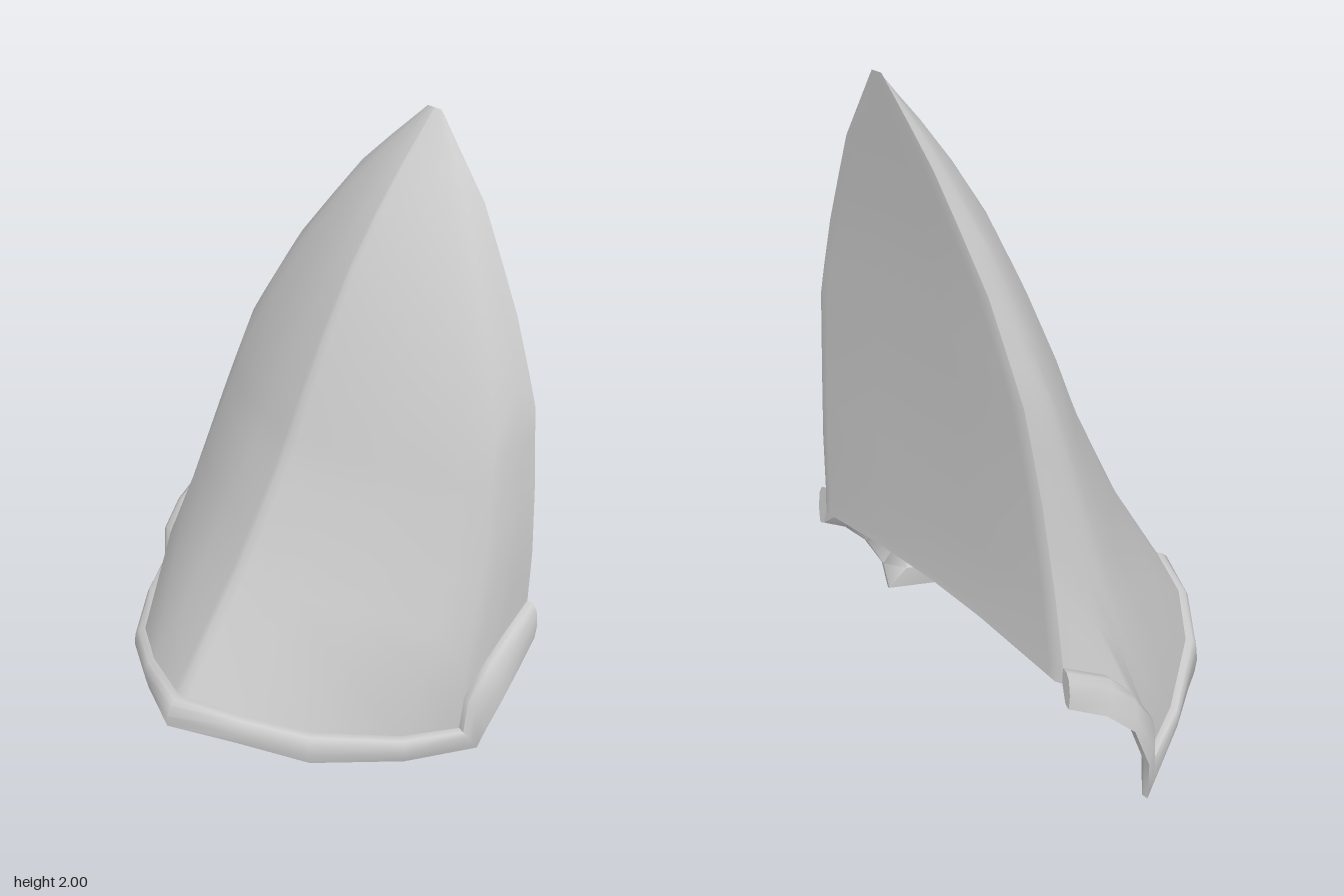
import * as THREE from 'three';
import { toCreasedNormals } from 'three/addons/utils/BufferGeometryUtils.js';

const material = new THREE.MeshStandardMaterial({ color: 0xcccccc, side: THREE.DoubleSide });

// Surface through rows of points; flip reverses the facing
function grid(rows, flip, crease) {
  const n = rows[0].length, index = [];
  for (let r = 0; r < rows.length - 1; r++) {
    for (let j = 0; j < n - 1; j++) {
      const a = r * n + j, b = a + 1, c = a + n, d = c + 1;
      index.push(...(flip ? [a, c, b, b, c, d] : [a, b, c, b, d, c]));
    }
  }
  const geometry = new THREE.BufferGeometry();
  geometry.setAttribute('position', new THREE.Float32BufferAttribute(rows.flat(2), 3));
  geometry.setIndex(index);
  geometry.computeVertexNormals();
  return crease ? toCreasedNormals(geometry, crease) : geometry;
}

function part(name, geometry) {
  const mesh = new THREE.Mesh(geometry, material);
  mesh.name = name;
  return mesh;
}

// Piecewise linear lookup in a table of [y, value]
function lookup(table, y) {
  let i = 0;
  while (i < table.length - 2 && y > table[i + 1][0]) i++;
  const [y0, v0] = table[i], [y1, v1] = table[i + 1];
  return v0 + (v1 - v0) * (y - y0) / (y1 - y0);
}

const mix = THREE.MathUtils.lerp;
const mixPoint = (a, b, t) => a.map((v, i) => mix(v, b[i], t));

// Central ridge and the rear edges, by height
const ridgeX = [[0.26, 0], [2, 0.175]];
const ridgeZ = [[0.26, 0.43], [0.64, 0.2], [0.98, 0.04], [1.2, -0.035], [1.4, -0.11], [1.58, -0.19], [1.73, -0.28], [1.85, -0.365], [2, -0.49]];
const edgeZ = [[0.5, -0.45], [1, -0.445], [1.5, -0.455], [2, -0.49]];

// Half cross-section depth as fractions from ridge to rear edge
const fracZ = [0, 0.11, 0.26, 0.5, 0.65, 0.72, 0.8, 0.88, 1];
const levels = [0, 0.13, 0.22, 0.3, 0.41, 0.47, 0.54, 0.65, 0.76, 0.85, 0.92, 1];

// Per side: width fractions, rear edge, lower shell border and outer rim border, from ridge to back
const left = {
  fracX: [0, 0.3, 0.57, 0.89, 0.98, 0.99, 1, 1, 1],
  straighten: 0.25,
  edgeX: [[0.1, 0.69], [0.7, 0.685], [0.95, 0.67], [1.22, 0.64], [1.49, 0.54], [1.77, 0.39], [2, 0.2]],
  border: [[0, 0.26, 0.43], [0.2, 0.235, 0.34], [0.37, 0.195, 0.22], [0.56, 0.15, 0], [0.66, 0.135, -0.17],
    [0.67, 0.27, -0.17], [0.68, 0.37, -0.25], [0.685, 0.43, -0.32], [0.685, 0.505, -0.45]],
  outer: [[0, 0.165, 0.485], [0.2, 0.14, 0.37], [0.39, 0.09, 0.24], [0.58, 0.055, 0], [0.7, 0.04, -0.22],
    [0.725, 0.13, -0.225], [0.74, 0.23, -0.28], [0.738, 0.31, -0.36], [0.72, 0.365, -0.46]],
};
const right = {
  fracX: [0, 0.29, 0.55, 0.83, 0.94, 0.96, 0.975, 0.985, 1],
  straighten: 0.4,
  edgeX: [[0.1, -0.72], [0.47, -0.63], [0.62, -0.6], [0.95, -0.52], [1.2, -0.445], [1.48, -0.29], [1.79, -0.06], [2, 0.15]],
  border: [[0, 0.26, 0.43], [-0.2, 0.24, 0.35], [-0.38, 0.19, 0.225], [-0.57, 0.13, 0], [-0.685, 0.1, -0.185],
    [-0.68, 0.24, -0.19], [-0.665, 0.34, -0.25], [-0.65, 0.41, -0.32], [-0.63, 0.475, -0.455]],
  outer: [[0, 0.165, 0.485], [-0.2, 0.135, 0.38], [-0.41, 0.078, 0.24], [-0.58, 0.032, 0], [-0.74, 0, -0.23],
    [-0.745, 0.12, -0.23], [-0.738, 0.25, -0.28], [-0.71, 0.32, -0.36], [-0.67, 0.365, -0.465]],
};

function halfRow({ fracX, straighten, edgeX, border }, t) {
  const row = border.map((p, j) => {
    if (t === 0) return p;
    const y = mix(p[1], 2, t);
    const fx = mix(fracX[j], fracZ[j], straighten * t);
    return [
      mix(lookup(ridgeX, y), lookup(edgeX, y), fx), y,
      mix(lookup(ridgeZ, y), lookup(edgeZ, y), fracZ[j]),
    ];
  });
  // narrow strip beside the ridge keeps it tight but soft
  row.splice(1, 0, mixPoint(row[0], row[1], 0.15));
  return row;
}

const shellRows = () => levels.map((t) => [...halfRow(right, t).reverse(), ...halfRow(left, t).slice(1)]);

// Rounded rim section at one border point: shell line, bulge, lower lip, inner line
function rimSection(p, q) {
  const out = new THREE.Vector2(p[0], p[2] + 0.35).normalize();
  const shift = (v, d, dy) => [v[0] + out.x * d, v[1] + dy, v[2] + out.y * d];
  const section = [
    p, shift(p, 0.022, -0.003), shift(mixPoint(p, q, 0.2), 0.028, 0), shift(mixPoint(p, q, 0.6), 0.02, 0),
    q, shift(q, -0.02, 0.005), shift(p, -0.018, -0.01), p,
  ];
  // keep the rim ends flush with the back
  return section.map(([x, y, z]) => [x, y, Math.max(z, -0.465)]);
}

function rimRows() {
  const half = (s) => s.border.map((p, j) => rimSection(p, s.outer[j]));
  const rows = [...half(right).reverse(), ...half(left).slice(1)];
  const cap = (row) => {
    const c = [0, 1, 2].map((i) => row.slice(1).reduce((sum, p) => sum + p[i], 0) / (row.length - 1));
    return row.map(() => c);
  };
  return [cap(rows[0]), ...rows, cap(rows[rows.length - 1])];
}

// Back panel: bevelled border strips, a flat middle and a slightly arched lower edge
function panelRows(shell) {
  const rows = shell.map((row, r) => {
    const a = row[0], b = row.at(-1);
    const inset = Math.min(0.05 / (b[0] - a[0]), 0.3);
    const depth = 0.012 * (1 - levels[r]);
    const at = (f, dz) => {
      const [x, y, z] = mixPoint(a, b, f);
      return [x, y, z - dz];
    };
    return [a, at(inset * 0.4, depth * 0.8), at(inset, depth), at(0.3, depth), at(0.5, depth), at(0.7, depth),
      at(1 - inset, depth), at(1 - inset * 0.4, depth * 0.8), b];
  });
  const drop = [0.05, 0.05, 0.045, 0.025, 0.025, 0.04, 0.075, 0.08, 0.08];
  return [rows[0].map(([x, y, z], j) => [x, y - drop[j], z - 0.003]), ...rows];
}

export function createModel() {
  const model = new THREE.Group();
  model.name = 'armourPlate';
  const shell = shellRows();
  model.add(part('frontShell', grid(shell, false)));
  model.add(part('backPanel', grid(panelRows(shell), true, 0.8)));
  model.add(part('lowerRim', grid(rimRows(), false, 1)));
  return model;
}
